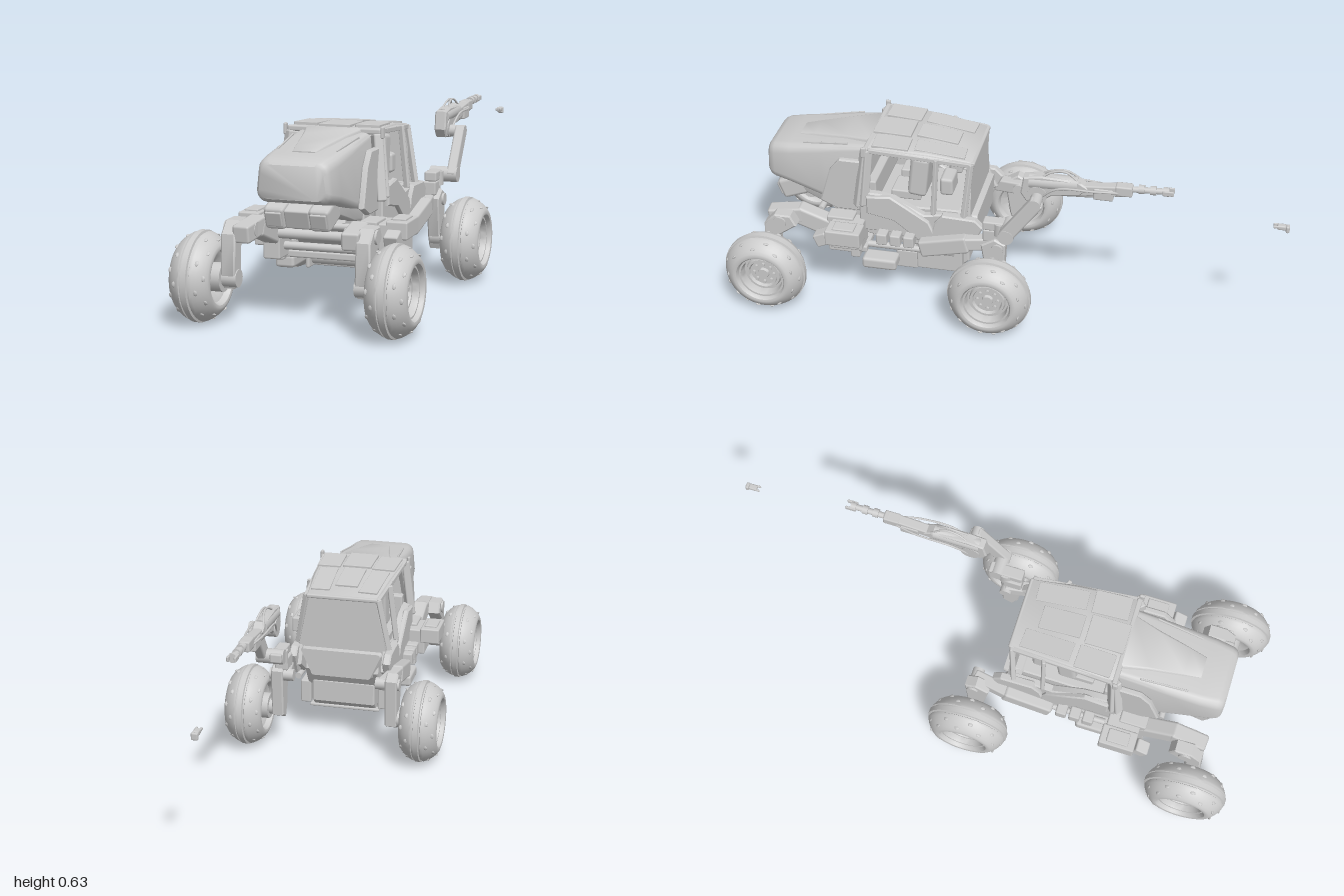
import * as THREE from 'three';
import { toCreasedNormals } from 'three/addons/utils/BufferGeometryUtils.js';
import { RoundedBoxGeometry } from 'three/addons/geometries/RoundedBoxGeometry.js';

const grey = new THREE.MeshStandardMaterial({ color: 0xcccccc, side: THREE.DoubleSide });
const V = (a) => new THREE.Vector3(...a);
const sides = [-1, 1];

function add(parent, name, geo, pos = [0, 0, 0], rot = [0, 0, 0]) {
  const m = new THREE.Mesh(geo, grey);
  m.name = name;
  m.position.set(...pos);
  m.rotation.set(...rot);
  parent.add(m);
  return m;
}
function group(parent, name) {
  const g = new THREE.Group();
  g.name = name;
  parent.add(g);
  return g;
}
function box(parent, name, size, pos, rot, r = 0.006) {
  return add(parent, name, new RoundedBoxGeometry(...size, 1, Math.min(r, Math.min(...size) * 0.4)), pos, rot);
}
// Beam between two points: round, or square when w is given
function beam(parent, name, a, b, r, w = 0) {
  const A = V(a), B = V(b), len = A.distanceTo(B);
  const geo = w ? new RoundedBoxGeometry(w, r * 2, len, 1, Math.min(w, r) * 0.3)
    : new THREE.CylinderGeometry(r, r, len, 16).rotateX(Math.PI / 2);
  const m = add(parent, name, geo, A.clone().add(B).multiplyScalar(0.5).toArray());
  m.lookAt(B);
  return m;
}
function hose(parent, name, pts, r = 0.004) {
  return add(parent, name, new THREE.TubeGeometry(new THREE.CatmullRomCurve3(pts.map(V)), 24, r, 6));
}
// Side outline given as [z, y], extruded across x
function slab(parent, name, pts, x, width, bevel = 0.005) {
  const shape = new THREE.Shape(pts.map((p) => new THREE.Vector2(...p)));
  const geo = new THREE.ExtrudeGeometry(shape, { depth: width - 2 * bevel, bevelSize: bevel, bevelThickness: bevel, bevelOffset: -bevel, bevelSegments: 1 });
  geo.translate(0, 0, -(width - 2 * bevel) / 2).rotateY(-Math.PI / 2);
  return add(parent, name, toCreasedNormals(geo, 0.5), [x, 0, 0]);
}
// Loft through rounded trapezoids: [z, yBottom, yTop, halfBottom, halfTop, radius]
function loft(parent, name, sections) {
  const pos = [], idx = [], N = 20;
  for (const [z, yb, yt, hb, ht, r] of sections) {
    [[hb - r, yb + r], [ht - r, yt - r], [r - ht, yt - r], [r - hb, yb + r]].forEach(([cx, cy], c) => {
      for (let k = 0; k < 5; k++) {
        const a = (c - 1 + k / 4) * Math.PI / 2;
        pos.push(cx + r * Math.cos(a), cy + r * Math.sin(a), z);
      }
    });
  }
  const last = (sections.length - 1) * N;
  for (let s = 0; s < last; s += N) for (let i = 0; i < N; i++) {
    const j = (i + 1) % N;
    idx.push(s + i, s + j, s + N + j, s + i, s + N + j, s + N + i);
  }
  for (let i = 1; i < N - 1; i++) idx.push(0, i + 1, i, last, last + i, last + i + 1);
  const geo = new THREE.BufferGeometry();
  geo.setAttribute('position', new THREE.Float32BufferAttribute(pos, 3));
  geo.setIndex(idx);
  return add(parent, name, toCreasedNormals(geo, 0.7));
}
// Profile of [radius, offset along the axle]
function lathe(parent, name, pts) {
  const geo = new THREE.LatheGeometry(pts.map((p) => new THREE.Vector2(...p)), 48).rotateZ(-Math.PI / 2);
  return add(parent, name, toCreasedNormals(geo, 0.6));
}

function makeWheel(parent, side) {
  const g = group(parent, 'wheel');
  const half = [[0.084, -0.05], [0.086, -0.062], [0.091, -0.069], [0.099, -0.071], [0.108, -0.068], [0.118, -0.061], [0.128, -0.051],
    [0.137, -0.039], [0.144, -0.026], [0.147, -0.018], [0.143, -0.016], [0.143, -0.011], [0.151, -0.009]];
  lathe(g, 'tyre', [...half, ...half.slice().reverse().map(([r, a]) => [r, -a])]);
  lathe(g, 'rim', [[0, -0.03], [0.05, -0.03], [0.07, -0.045], [0.084, -0.05], [0.074, 0], [0.074, 0.04], [0.078, 0.054], [0.085, 0.054]]);
  lathe(g, 'rimDish', [[0, 0.034], [0.018, 0.034], [0.021, 0.024], [0.05, 0.024], [0.054, 0.036], [0.062, 0.036], [0.066, 0.02], [0.075, 0.02]]);
  for (let i = 0; i < 8; i++) {
    const a = i * Math.PI / 4;
    add(g, 'wheelBolt', new THREE.CylinderGeometry(0.007, 0.007, 0.01, 8).rotateZ(Math.PI / 2),
      [0.028, 0.037 * Math.cos(a), 0.037 * Math.sin(a)]);
  }
  // Flat tread studs
  for (let i = 0; i < 18; i++) for (const s of sides) {
    const a = (i + (s > 0 ? 0.5 : 0)) * Math.PI / 9, r = i % 2 ? 0.138 : 0.122;
    const stud = add(g, 'treadStud', new THREE.SphereGeometry(0.01, 8, 6), [s * (i % 2 ? 0.036 : 0.057), r * Math.cos(a), r * Math.sin(a)], [a, 0, 0]);
    stud.scale.set(0.8, 0.35, 1);
  }
  if (side < 0) g.rotation.y = Math.PI;
  return g;
}

function makeCab(root) {
  const g = group(root, 'cab');
  // Hood and cowl
  loft(g, 'hood', [[0.5, 0.35, 0.595, 0.16, 0.13, 0.02], [0.6, 0.35, 0.586, 0.155, 0.13, 0.025], [0.68, 0.365, 0.574, 0.144, 0.13, 0.028],
    [0.8, 0.4, 0.56, 0.135, 0.128, 0.032], [0.86, 0.412, 0.553, 0.128, 0.121, 0.034], [0.876, 0.417, 0.546, 0.122, 0.115, 0.034],
    [0.885, 0.426, 0.536, 0.112, 0.105, 0.03]]);
  loft(g, 'hoodScoop', [[0.5, 0.57, 0.608, 0.11, 0.1, 0.008], [0.6, 0.56, 0.596, 0.09, 0.075, 0.008], [0.72, 0.545, 0.577, 0.062, 0.052, 0.006],
    [0.78, 0.54, 0.566, 0.05, 0.04, 0.005]]);
  for (const s of sides) {
    slab(g, 'hoodCheek', [[0.52, 0.34], [0.52, 0.55], [0.6, 0.55], [0.64, 0.5], [0.68, 0.37], [0.62, 0.34]], s * 0.155, 0.022);
    beam(g, 'cowlPanel', [s * 0.15, 0.59, 0.5], [s * 0.174, 0.37, 0.53], 0.02, 0.034);
    beam(g, 'hoodSeam', [s * 0.115, 0.588, 0.58], [s * 0.1, 0.565, 0.75], 0.004, 0.006);
    // Headlight housing below the hood
    box(g, 'headlight', [0.072, 0.08, 0.11], [s * 0.076, 0.373, 0.8], [0.35, 0, 0], 0.014);
    box(g, 'lampLens', [0.055, 0.05, 0.01], [s * 0.076, 0.356, 0.853], [0.35, 0, 0]);
  }
  box(g, 'headlightCentre', [0.085, 0.065, 0.1], [0, 0.372, 0.8], [0.35, 0, 0]);
  loft(g, 'noseUnderside', [[0.5, 0.3, 0.4, 0.14, 0.15, 0.01], [0.66, 0.325, 0.4, 0.13, 0.14, 0.01], [0.76, 0.36, 0.42, 0.11, 0.12, 0.01]]);
  // Roof with raised hatches
  loft(g, 'roof', [[0.12, 0.56, 0.576, 0.138, 0.132, 0.006], [0.28, 0.58, 0.6, 0.152, 0.147, 0.008], [0.44, 0.59, 0.609, 0.165, 0.158, 0.008],
    [0.5, 0.59, 0.606, 0.165, 0.158, 0.008]]);
  for (const s of sides) {
    beam(g, 'frontRoofPanel', [s * 0.105, 0.605, 0.35], [s * 0.11, 0.611, 0.48], 0.006, 0.085);
    beam(g, 'rearRoofPanel', [s * 0.09, 0.582, 0.15], [s * 0.1, 0.604, 0.33], 0.005, 0.07);
  }
  beam(g, 'roofHatch', [0, 0.587, 0.19], [0, 0.606, 0.34], 0.007, 0.085);
  beam(g, 'frontRoofHatch', [0, 0.606, 0.36], [0, 0.61, 0.5], 0.007, 0.11);
  box(g, 'roofFrontBar', [0.33, 0.02, 0.02], [0, 0.598, 0.5]);
  box(g, 'roofRearBar', [0.27, 0.016, 0.025], [0, 0.568, 0.122]);
  // Rear window and the tapering panel below it
  loft(g, 'rearWindow', [[0.122, 0.36, 0.565, 0.165, 0.128, 0.012], [0.14, 0.36, 0.565, 0.17, 0.133, 0.012]]);
  loft(g, 'rearPanel', [[0.1, 0.26, 0.362, 0.115, 0.15, 0.012], [0.17, 0.24, 0.37, 0.135, 0.172, 0.012]]);
  for (const s of sides) {
    beam(g, 'frontPillar', [s * 0.16, 0.6, 0.49], [s * 0.184, 0.38, 0.51], 0.016, 0.018);
    beam(g, 'rearPillar', [s * 0.136, 0.57, 0.125], [s * 0.175, 0.36, 0.145], 0.01, 0.018);
    beam(g, 'middlePillar', [s * 0.153, 0.585, 0.245], [s * 0.178, 0.37, 0.255], 0.01, 0.014);
    beam(g, 'roofRail', [s * 0.161, 0.598, 0.49], [s * 0.137, 0.565, 0.12], 0.008, 0.014);
    // Door and lower side panels
    slab(g, 'door', [[0.53, 0.27], [0.53, 0.43], [0.46, 0.43], [0.4, 0.42], [0.29, 0.36], [0.23, 0.37], [0.12, 0.37], [0.09, 0.3], [0.16, 0.25], [0.34, 0.25], [0.42, 0.27]], s * 0.165, 0.03);
    slab(g, 'doorPanel', [[0.5, 0.35], [0.5, 0.42], [0.41, 0.43], [0.27, 0.34], [0.24, 0.27], [0.3, 0.25], [0.4, 0.33]], s * 0.182, 0.022);
    slab(g, 'rearFender', [[0.27, 0.26], [0.25, 0.34], [0.22, 0.375], [0.1, 0.37], [0.07, 0.34], [0.11, 0.26]], s * 0.178, 0.03);
    // Seats
    box(g, 'seatCushion', [0.1, 0.035, 0.11], [s * 0.07, 0.4, 0.37]);
    box(g, 'seatBack', [0.11, 0.16, 0.07], [s * 0.075, 0.485, 0.32], [-0.12, 0, 0], 0.015);
    box(g, 'headrest', [0.06, 0.035, 0.04], [s * 0.075, 0.565, 0.3], [0, 0, 0], 0.012);
    box(g, 'rearSeat', [0.09, 0.07, 0.05], [s * 0.075, 0.45, 0.22], [0, 0, 0], 0.012);
    beam(g, 'mirrorArm', [s * 0.155, 0.59, 0.5], [s * 0.173, 0.585, 0.505], 0.004);
    box(g, 'mirror', [0.012, 0.04, 0.02], [s * 0.172, 0.596, 0.505]);
  }
  box(g, 'dashboard', [0.31, 0.09, 0.05], [0, 0.42, 0.495]);
}

function makeChassis(root) {
  const g = group(root, 'chassis');
  slab(g, 'hull', [[0.6, 0.3], [0.6, 0.36], [0.14, 0.37], [0.11, 0.28], [0.16, 0.2], [0.38, 0.2], [0.52, 0.23]], 0, 0.28);
  slab(g, 'frontFrame', [[0.5, 0.19], [0.5, 0.31], [0.66, 0.35], [0.68, 0.32], [0.58, 0.22]], 0, 0.2);
  slab(g, 'bellyBox', [[0.34, 0.12], [0.34, 0.22], [0.14, 0.22], [0.14, 0.14], [0.18, 0.105]], 0, 0.24);
  beam(g, 'roller', [-0.125, 0.13, 0.37], [0.125, 0.13, 0.37], 0.026);
  beam(g, 'upperCrossTube', [-0.16, 0.265, 0.64], [0.16, 0.265, 0.64], 0.018);
  beam(g, 'noseCrossTube', [-0.14, 0.31, 0.69], [0.14, 0.31, 0.69], 0.012);
  beam(g, 'middleCrossTube', [-0.15, 0.215, 0.6], [0.15, 0.215, 0.6], 0.014);
  box(g, 'frontCrossPlate', [0.36, 0.025, 0.06], [0, 0.18, 0.54]);
  box(g, 'skidPlate', [0.27, 0.012, 0.2], [0, 0.106, 0.26], [0.05, 0, 0]);
  for (const s of sides) {
    box(g, 'rollerBracket', [0.015, 0.075, 0.08], [s * 0.135, 0.132, 0.37]);
    box(g, 'undertank', [0.07, 0.045, 0.13], [s * 0.175, 0.14, 0.46], [0, 0, 0], 0.012);
    box(g, 'lowerSideBox', [0.04, 0.09, 0.17], [s * 0.15, 0.165, 0.24]);
    beam(g, 'sideTube', [s * 0.185, 0.215, 0.18], [s * 0.185, 0.215, 0.5], 0.012);
    box(g, 'equipmentBox', [0.075, 0.06, 0.13], [s * 0.26, 0.295, 0.565]);
    box(g, 'boxLid', [0.05, 0.012, 0.08], [s * 0.26, 0.326, 0.565]);
    box(g, 'boxStep', [0.05, 0.05, 0.05], [s * 0.255, 0.27, 0.65], [0.4, 0, 0]);
    box(g, 'boxMount', [0.09, 0.1, 0.12], [s * 0.195, 0.265, 0.57]);
    box(g, 'armBracket', [0.06, 0.15, 0.1], [s * 0.17, 0.25, 0.6]);
    box(g, 'dropPost', [0.04, 0.1, 0.035], [s * 0.18, 0.205, 0.55]);
    for (let i = 0; i < 3; i++) box(g, 'sideModule', [0.045, 0.045, 0.04], [s * 0.205, 0.265, 0.34 + i * 0.05]);
  }
}

function makeSuspension(root) {
  const g = group(root, 'suspension');
  for (const s of sides) {
    // Front swing arm, knuckle leg and hub
    beam(g, 'frontArm', [s * 0.172, 0.25, 0.6], [s * 0.175, 0.315, 0.77], 0.036, 0.06);
    beam(g, 'frontArmTip', [s * 0.175, 0.315, 0.74], [s * 0.185, 0.3, 0.87], 0.03, 0.06);
    slab(g, 'frontKnuckle', [[0.75, 0.3], [0.77, 0.34], [0.83, 0.34], [0.87, 0.3], [0.88, 0.17], [0.86, 0.12], [0.82, 0.14], [0.82, 0.25]], s * 0.228, 0.05);
    beam(g, 'frontPivot', [s * 0.15, 0.31, 0.81], [s * 0.26, 0.31, 0.81], 0.024);
    // Rear trailing arm, knuckle and hub
    beam(g, 'rearArm', [s * 0.205, 0.24, 0.3], [s * 0.21, 0.285, 0.12], 0.033, 0.045);
    beam(g, 'rearArmTip', [s * 0.21, 0.285, 0.15], [s * 0.185, 0.29, 0.0], 0.025, 0.045);
    slab(g, 'rearKnuckle', [[0.07, 0.3], [0.02, 0.33], [-0.02, 0.31], [-0.01, 0.13], [0.03, 0.11], [0.05, 0.16]], s * 0.215, 0.045);
    beam(g, 'rearPivot', [s * 0.155, 0.29, 0.01], [s * 0.245, 0.29, 0.01], 0.022);
    for (const z of [0.85, 0.02]) {
      beam(g, 'axle', [s * 0.2, 0.153, z], [s * 0.31, 0.153, z], 0.03);
      beam(g, 'hubFlange', [s * 0.25, 0.153, z], [s * 0.29, 0.153, z], 0.048);
      makeWheel(g, s).position.set(s * 0.329, 0.152, z);
    }
  }
}

function makeCrane(root) {
  const g = group(root, 'roboticArm');
  box(g, 'armMount', [0.05, 0.05, 0.07], [0.2, 0.335, 0.03]);
  beam(g, 'turntable', [0.205, 0.34, 0], [0.205, 0.39, 0], 0.03);
  box(g, 'shoulderBlock', [0.045, 0.035, 0.13], [0.205, 0.378, 0]);
  beam(g, 'shoulderJoint', [0.18, 0.375, -0.03], [0.282, 0.375, -0.03], 0.028);
  beam(g, 'lowerLink', [0.262, 0.365, -0.02], [0.262, 0.53, -0.14], 0.026, 0.036);
  beam(g, 'elbowJoint', [0.18, 0.52, -0.13], [0.28, 0.52, -0.13], 0.022);
  beam(g, 'elbowDrum', [0.175, 0.53, -0.13], [0.225, 0.53, -0.13], 0.035);
  // Upper arm tapering to the wrist
  slab(g, 'upperArm', [[-0.07, 0.53], [-0.08, 0.595], [-0.14, 0.605], [-0.27, 0.6], [-0.31, 0.575], [-0.28, 0.545], [-0.18, 0.53], [-0.13, 0.495], [-0.09, 0.5]], 0.2, 0.042);
  beam(g, 'armHousing', [0.2, 0.575, -0.1], [0.2, 0.58, -0.27], 0.027);
  beam(g, 'armPiston', [0.2, 0.535, -0.13], [0.2, 0.55, -0.37], 0.014);
  beam(g, 'forearm', [0.2, 0.562, -0.27], [0.2, 0.578, -0.45], 0.02, 0.036);
  box(g, 'forearmBlock', [0.045, 0.045, 0.07], [0.2, 0.558, -0.36]);
  box(g, 'wristBlock', [0.04, 0.038, 0.06], [0.2, 0.578, -0.43]);
  beam(g, 'wristShaft', [0.2, 0.582, -0.44], [0.2, 0.588, -0.58], 0.011);
  for (const z of [-0.48, -0.52, -0.565]) beam(g, 'wristCollar', [0.2, 0.586, z], [0.2, 0.587, z - 0.02], 0.016);
  for (const s of sides) {
    box(g, 'gripperFinger', [0.008, 0.018, 0.04], [0.2 + s * 0.013, 0.588, -0.582]);
    hose(g, 'sideHose', [[0.2 + s * 0.02, 0.51, -0.13], [0.2 + s * 0.034, 0.57, -0.2], [0.2 + s * 0.032, 0.575, -0.33], [0.2 + s * 0.015, 0.57, -0.42]]);
    hose(g, 'topHose', [[0.2 + s * 0.016, 0.59, -0.13], [0.2 + s * 0.006, 0.62, -0.18], [0.2 + s * 0.006, 0.624, -0.23], [0.2 + s * 0.016, 0.59, -0.28]]);
  }
  // Detached tool head
  const t = group(g, 'toolHead');
  box(t, 'toolBody', [0.022, 0.018, 0.032], [0.197, 0.495, -0.972]);
  for (const s of sides) box(t, 'toolProng', [0.007, 0.01, 0.02], [0.197 + s * 0.008, 0.497, -0.954]);
  box(t, 'toolTip', [0.024, 0.026, 0.014], [0.197, 0.49, -0.993]);
}

export function createModel() {
  const root = new THREE.Group();
  root.name = 'roverWithArm';
  makeCab(root);
  makeChassis(root);
  makeSuspension(root);
  makeCrane(root);
  return root;
}
